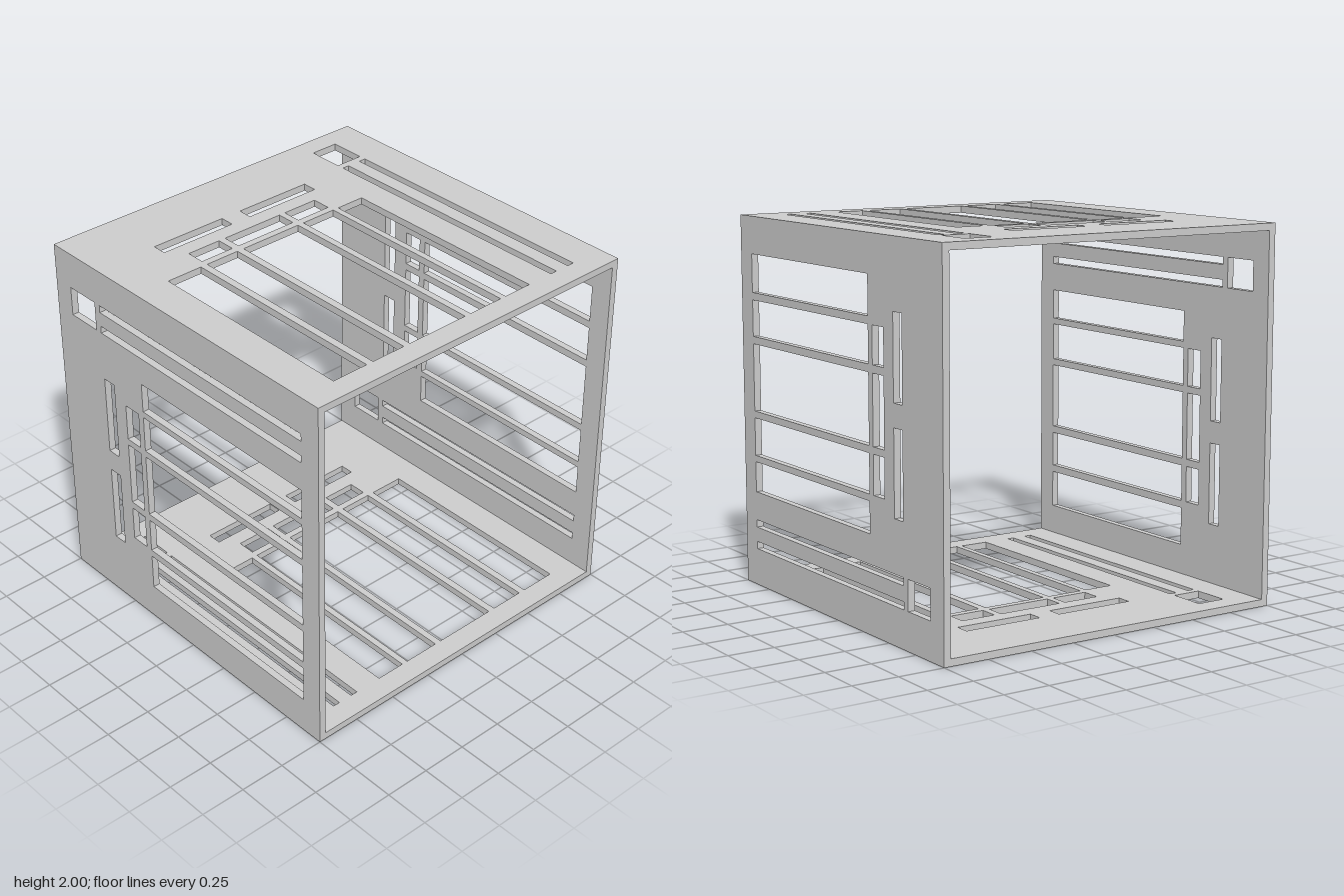
import * as THREE from 'three';

const T = 0.038; // wall thickness

function rect(target, x0, x1, y0, y1) {
  target.moveTo(x0, y0).lineTo(x1, y0).lineTo(x1, y1).lineTo(x0, y1).closePath();
  return target;
}

// One wall with its cutouts, heights given from 0 (bottom) to 2 (top)
function panelGeometry() {
  const shape = rect(new THREE.Shape(), -1, 1, -1, 1 - T);
  const cut = (x0, x1, y0, y1) =>
    shape.holes.push(rect(new THREE.Path(), x0, x1, y0 - 1, y1 - 1));

  // square hole and two long slots beside it
  cut(-0.88, -0.68, 1.64, 1.80);
  cut(-0.64, 0.88, 1.76, 1.80);
  cut(-0.64, 0.88, 1.64, 1.68);

  // narrow upright slots
  cut(-0.64, -0.56, 0.92, 1.365);
  cut(-0.64, -0.56, 0.36, 0.80);

  // barred window, with a side column sharing the middle rows
  const rows = [[0.20, 0.405], [0.445, 0.64], [0.68, 1.043], [1.08, 1.285], [1.32, 1.485]];
  rows.forEach(([y0, y1], i) => {
    cut(-0.325, 0.88, y0, y1);
    if (i > 0 && i < 4) cut(-0.47, -0.365, y0, y1);
  });

  return new THREE.ExtrudeGeometry(shape, { depth: T, bevelEnabled: false })
    .translate(0, 0, 1 - T);
}

export function createModel() {
  const group = new THREE.Group();
  group.name = 'slottedSquareTube';
  const material = new THREE.MeshStandardMaterial({ color: 0xcccccc, flatShading: true });
  const geometry = panelGeometry();

  // the same wall turned around the x axis, butted at each corner
  ['frontPanel', 'topPanel', 'backPanel', 'bottomPanel'].forEach((name, i) => {
    const panel = new THREE.Mesh(geometry, material);
    panel.name = name;
    panel.rotation.x = -i * Math.PI / 2;
    panel.position.y = 1;
    group.add(panel);
  });
  return group;
}
